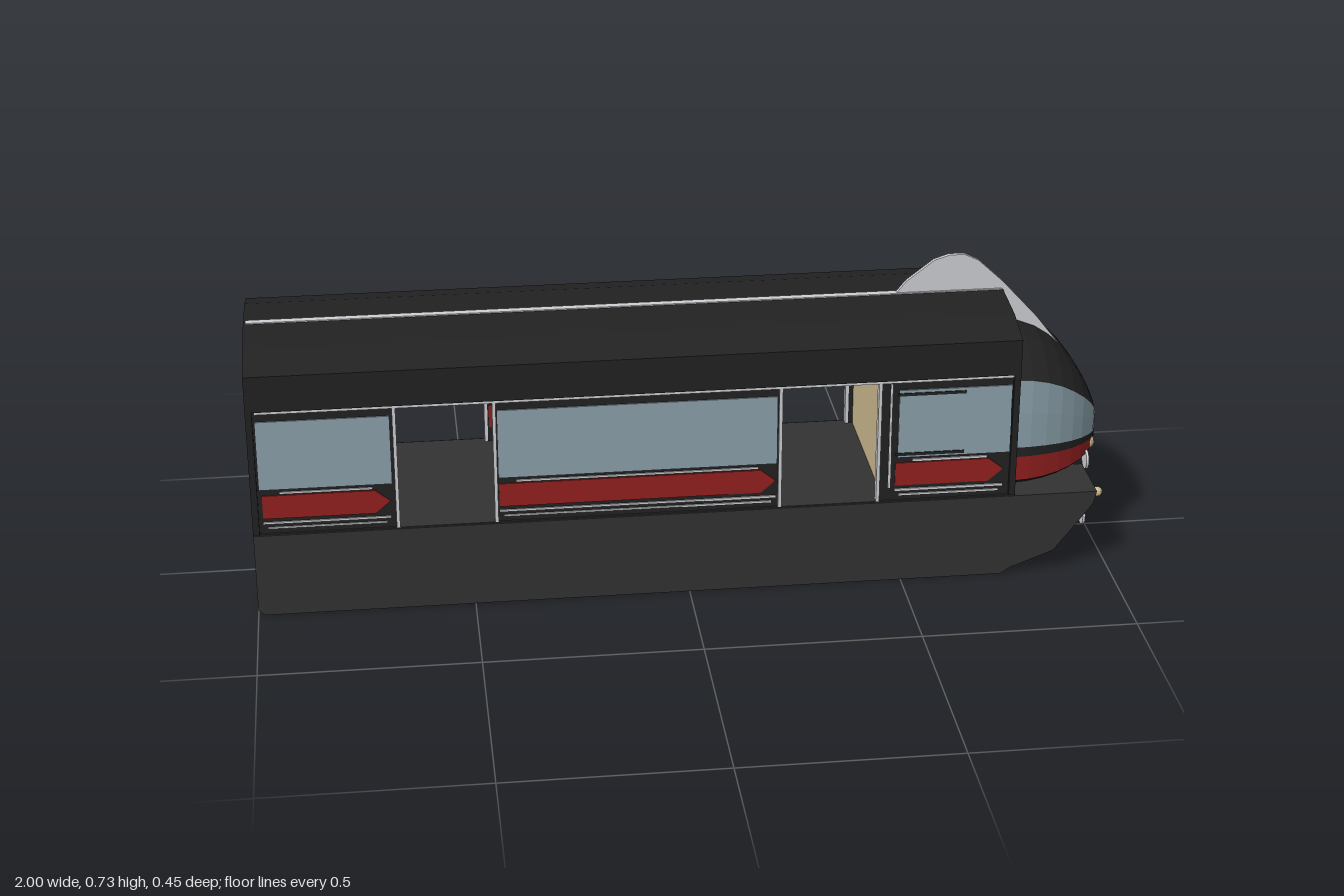
import * as THREE from 'three';

const material = (name, color, side = THREE.FrontSide) => {
  const m = new THREE.MeshStandardMaterial({ color, side, flatShading: true });
  m.name = name;
  return m;
};

export function createModel() {
  const black = material('black body', 0x222222);
  const grey = material('dark grey skirt', 0x323232);
  const glass = material('blue grey glass', 0x8ca2ac);
  const red = material('red stripe', 0x931f1f);
  const silver = material('silver trim', 0xcfd0d4);
  const tan = material('tan interior', 0xcdb990);
  const model = new THREE.Group();
  model.name = 'train';

  const add = (name, geometry, mat, parent = model) => {
    const mesh = new THREE.Mesh(geometry, mat);
    mesh.name = name;
    parent.add(mesh);
    return mesh;
  };
  // box given by its limits on each axis
  const box = (name, mat, [x0, x1], [y0, y1], [z0, z1], parent = model) => {
    const mesh = add(name, new THREE.BoxGeometry(x1 - x0, y1 - y0, z1 - z0), mat, parent);
    mesh.position.set((x0 + x1) / 2, (y0 + y1) / 2, (z0 + z1) / 2);
    return mesh;
  };
  const shape = (points) => new THREE.Shape(points.map(([x, y]) => new THREE.Vector2(x, y)));
  // side profile (x, y) extruded along z
  const slab = (name, mat, points, z0, z1, parent = model) => {
    const g = new THREE.ExtrudeGeometry(shape(points), { depth: z1 - z0, bevelEnabled: false });
    return add(name, g.translate(0, 0, z0), mat, parent);
  };
  // arched cross-section (z, y) extruded along x
  const arch = (name, y0, x0, x1) => {
    const pts = [[-0.227, y0], [0.227, y0], [0.227, 0.602], [0.135, 0.627], [0, 0.637], [-0.135, 0.627], [-0.227, 0.602]];
    const g = new THREE.ExtrudeGeometry(shape(pts), { depth: x1 - x0, bevelEnabled: false });
    add(name, g.rotateY(Math.PI / 2).translate(x0, 0, 0), black);
  };

  // roof, end walls, ceiling and floor
  arch('roof', 0.515, -1, 0.765);
  arch('rearWall', 0.207, -1, -0.985);
  arch('frontWall', 0.207, 0.75, 0.765);
  box('ceiling', tan, [-0.985, 0.75], [0.509, 0.515], [-0.21, 0.21]);
  box('cabBulkhead', tan, [0.455, 0.465], [0.207, 0.51], [-0.205, 0.205]);
  box('floor', grey, [-0.99, 0.76], [0.198, 0.207], [-0.222, 0.222]);
  box('underfloorBeam', black, [-0.995, 0.94], [0.16, 0.204], [-0.085, 0.085]);
  box('roofStripe', silver, [-0.995, 0.762], [0.63, 0.639], [-0.009, 0.009]);

  // skirts straddling the track
  const skirtProfile = [[-1, 0.014], [-0.986, 0], [0.74, 0], [0.765, 0.016], [0.865, 0.055],
    [0.93, 0.14], [0.955, 0.175], [0.962, 0.205], [-1, 0.205]];
  slab('leftSkirt', grey, skirtProfile, 0.08, 0.227);
  slab('rightSkirt', grey, skirtProfile, -0.227, -0.08);

  // side panels between the doorways
  const panels = [
    { x0: -0.985, x1: -0.67, g0: -0.98, g1: -0.68, r0: -0.975, r1: -0.685 },
    { x0: -0.445, x1: 0.21, g0: -0.438, g1: 0.203, r0: -0.438, r1: 0.2 },
    { x0: 0.44, x1: 0.752, g0: 0.485, g1: 0.748, r0: 0.48, r1: 0.735 },
  ];
  for (const s of [1, -1]) {
    const side = new THREE.Group();
    side.name = s > 0 ? 'frontSide' : 'backSide';
    model.add(side);
    const plate = (name, mat, xs, ys, a, b) => box(name, mat, xs, ys, s > 0 ? [a, b] : [-b, -a], side);
    for (const p of panels) {
      plate('sidePanel', black, [p.x0, p.x1], [0.207, 0.515], 0.206, 0.218);
      plate('window', glass, [p.g0, p.g1], [0.318, 0.488], 0.203, 0.221);
      const arrow = [[p.r0, 0.245], [p.r1 - 0.035, 0.245], [p.r1, 0.275], [p.r1 - 0.035, 0.303], [p.r0, 0.303]];
      const z = s > 0 ? [0.203, 0.221] : [-0.221, -0.203];
      slab('redArrow', red, arrow, z[0], z[1], side);
      plate('upperPinstripe', silver, [p.r0 + 0.04, p.r1 - 0.04], [0.306, 0.311], 0.217, 0.221);
      plate('lowerPinstripe', silver, [p.r0, p.r1], [0.231, 0.236], 0.217, 0.221);
      plate('sillPinstripe', silver, [p.r0 + 0.01, p.r1 - 0.01], [0.219, 0.223], 0.217, 0.221);
    }
    plate('gutterRail', silver, [-0.98, 0.76], [0.508, 0.515], 0.212, 0.224);
    for (const x of [-0.67, -0.445, 0.21, 0.44]) {
      plate('doorPost', silver, [x - 0.004, x + 0.004], [0.207, 0.51], 0.204, 0.223);
    }
    plate('cabPost', silver, [0.464, 0.469], [0.24, 0.505], 0.216, 0.221);
    for (const y of [0.474, 0.322]) plate('cabWindowBar', black, [0.48, 0.64], [y, y + 0.007], 0.22, 0.223);
  }

  // rear door with two handles
  box('rearDoorFrame', grey, [-1.0, -0.99], [0.22, 0.495], [-0.088, 0.088]).position.x -= 0.0005;
  box('rearDoor', black, [-1.0, -0.99], [0.223, 0.49], [-0.084, 0.084]).position.x -= 0.001;
  for (const z of [-0.038, 0.038]) {
    box('rearHandle', tan, [-1.0, -0.992], [0.295, 0.37], [z - 0.003, z + 0.003]).position.x -= 0.002;
  }

  // nose lines: [z, y] at the front wall, then y at the tip
  const lines = [[0, 0.56, 0.318], [0.085, 0.556, 0.317], [0.145, 0.534, 0.316], [0.191, 0.485, 0.315],
    [0.193, 0.4, 0.3], [0.192, 0.312, 0.284], [0.192, 0.288, 0.274], [0.191, 0.226, 0.262],
    [0.165, 0.208, 0.255], [0, 0.206, 0.25]];
  const rings = 9;
  const nosePoint = (k, i, s) => {
    const a = (k / rings) * Math.PI / 2, c = Math.cos(a), [z, y, tipY] = lines[i];
    return [0.764 + 0.234 * Math.sin(a), tipY + (y - tipY) * Math.pow(Math.max(c, 0), 1.45), s * z * (0.09 + 0.91 * c)];
  };
  const noseBand = (name, mat, i0, i1, k0 = 0, k1 = rings) => {
    const pos = [];
    for (const s of [1, -1]) for (let i = i0; i < i1; i++) for (let k = k0; k < k1; k++) {
      const a = nosePoint(k, i, s), b = nosePoint(k + 1, i, s);
      const c = nosePoint(k, i + 1, s), d = nosePoint(k + 1, i + 1, s);
      pos.push(...(s > 0 ? [a, c, b, b, c, d] : [a, b, c, b, d, c]).flat());
    }
    const g = new THREE.BufferGeometry();
    g.setAttribute('position', new THREE.Float32BufferAttribute(pos, 3));
    g.computeVertexNormals();
    add(name, g, mat);
  };
  noseBand('noseHood', black, 0, 3);
  noseBand('windshield', glass, 3, 5);
  noseBand('noseBelt', black, 5, 6);
  noseBand('noseRedStripe', red, 6, 7, 0, 7);
  noseBand('noseStripeEnd', black, 6, 7, 7, rings);
  noseBand('noseChin', black, 7, 9);
  box('noseTip', grey, [0.985, 1], [0.272, 0.317], [-0.017, 0.017]);
  box('noseTipBase', black, [0.985, 0.998], [0.25, 0.273], [-0.016, 0.016]);

  // crest fin over the nose
  slab('fin', silver, [[0.505, 0.63], [0.535, 0.667], [0.6, 0.717], [0.635, 0.728], [0.67, 0.728], [0.705, 0.711],
    [0.765, 0.655], [0.85, 0.562], [0.91, 0.485], [0.938, 0.436], [0.9, 0.46], [0.82, 0.52], [0.765, 0.55], [0.75, 0.62]], -0.005, 0.005);

  // headlights and the small lamp and discs ahead of the left skirt
  const ball = (name, r, x, y, z) => add(name, new THREE.SphereGeometry(r, 12, 8), tan).position.set(x, y, z);
  for (const z of [0.076, -0.076]) ball('headlight', 0.019, 0.97, 0.263, z);
  ball('smallLamp', 0.012, 0.988, 0.158, 0.137);
  for (const y of [0.232, 0.084]) {
    const disc = new THREE.CylinderGeometry(0.024, 0.024, 0.006, 20).rotateZ(Math.PI / 2);
    add('disc', disc, silver).position.set(0.962, y, 0.107);
  }
  return model;
}
